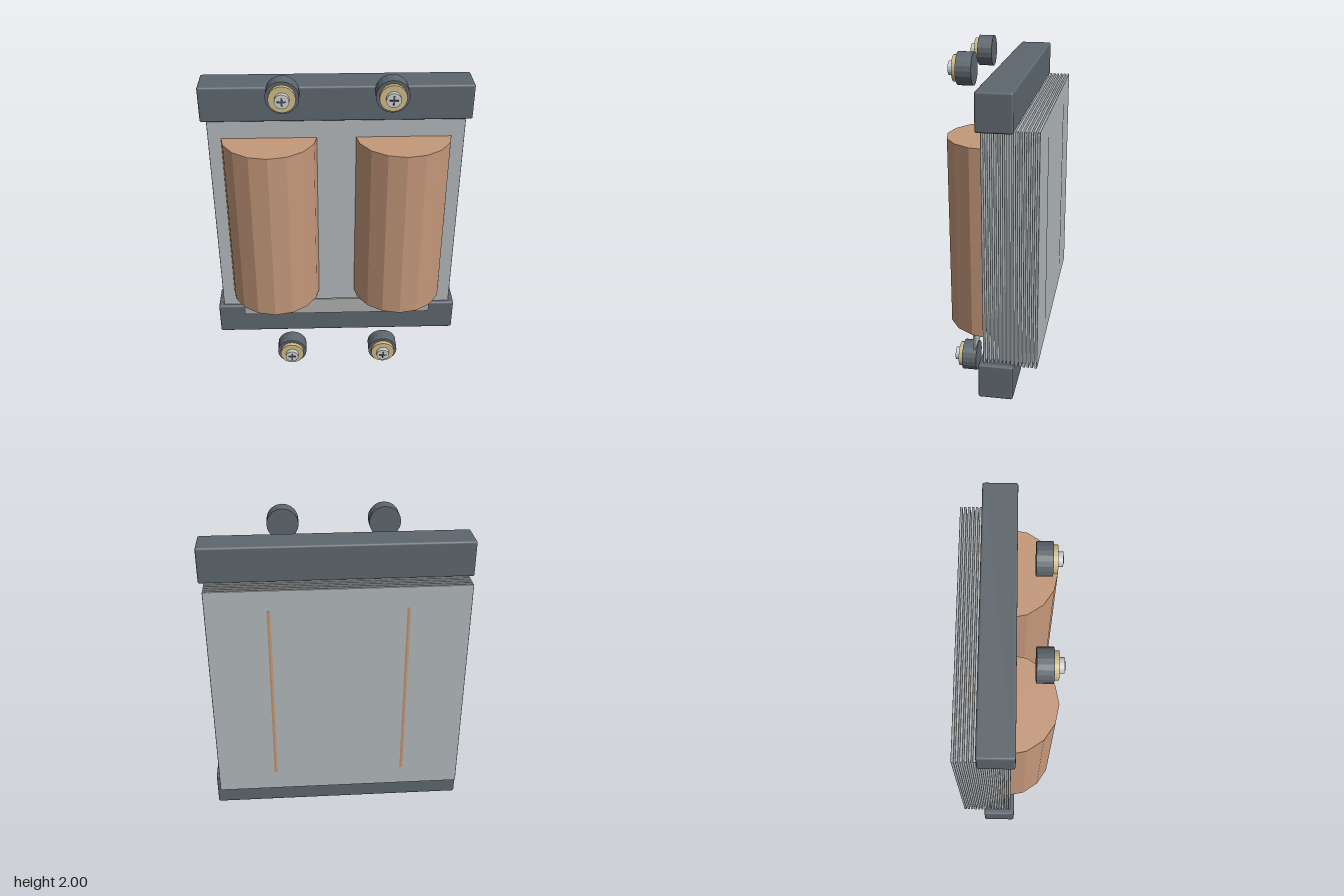
import * as THREE from 'three';
import { RoundedBoxGeometry } from 'three/addons/geometries/RoundedBoxGeometry.js';

const mat = (color, flatShading = false) => {
  const m = new THREE.MeshStandardMaterial({ flatShading });
  m.color.set(color);
  return m;
};

const steel = mat(0xb2b8bb);
const frame = mat(0x5e676e);
const rubber = mat(0x5e676e, true);
const copper = mat(0xc4987a, true);
const brass = mat(0xd0bc84, true);
const screwSteel = mat(0xcdd0d2, true);
const slotDark = mat(0x4a4f55);
const labelGrey = mat(0xb0b0ae);

function add(parent, name, geometry, material, x = 0, y = 0, z = 0) {
  const mesh = new THREE.Mesh(geometry, material);
  mesh.name = name;
  mesh.position.set(x, y, z);
  parent.add(mesh);
  return mesh;
}

// Disc lying along z, from z0 to z1
const disc = (r, z0, z1, sides) =>
  new THREE.CylinderGeometry(r, r, z1 - z0, sides).rotateX(Math.PI / 2).translate(0, 0, (z0 + z1) / 2);

function createMount() {
  const mount = new THREE.Group();
  mount.name = 'mountingScrew';
  add(mount, 'bushing', disc(0.093, 0.143, 0.232, 20), rubber);
  add(mount, 'washer', disc(0.075, 0.232, 0.257, 20), brass);
  add(mount, 'screwHead', disc(0.041, 0.257, 0.284, 16), screwSteel);
  // Cross recess
  add(mount, 'slotAcross', new THREE.BoxGeometry(0.05, 0.009, 0.006), slotDark, 0, 0, 0.285);
  add(mount, 'slotUpright', new THREE.BoxGeometry(0.009, 0.05, 0.006), slotDark, 0, 0, 0.285);
  return mount;
}

export function createModel() {
  const model = new THREE.Group();
  model.name = 'transformer';

  // Laminated core: a stack of thin sheets
  const core = new THREE.Group();
  core.name = 'laminatedCore';
  model.add(core);
  const sheet = new RoundedBoxGeometry(1.494, 1.367, 0.015, 1, 0.004);
  for (let i = 0; i < 14; i++) add(core, 'lamination', sheet, steel, 0, 1.004, 0.015 - i * 0.0225);

  // Clamping bars above and below
  const bar = new RoundedBoxGeometry(1.56, 0.212, 0.198, 2, 0.012);
  add(model, 'lowerClamp', bar, frame, 0, 0.225, -0.053);
  add(model, 'upperClamp', bar, frame, 0, 1.783, -0.053);

  // Copper windings, passing through the core
  const coil = new THREE.CylinderGeometry(0.283, 0.283, 1.116, 16);
  for (const side of [-1, 1]) add(model, 'winding', coil, copper, side * 0.392, 1.004, -0.004);

  // Blank rating plate
  add(model, 'ratingPlate', new THREE.BoxGeometry(1.206, 0.115, 0.011), labelGrey, 0, 0.373, 0.104);

  // Four mounting screws with bushings
  for (const x of [-0.298, 0.298]) {
    for (const y of [0.093, 1.907]) {
      const mount = createMount();
      mount.position.set(x, y, 0);
      model.add(mount);
    }
  }
  return model;
}
